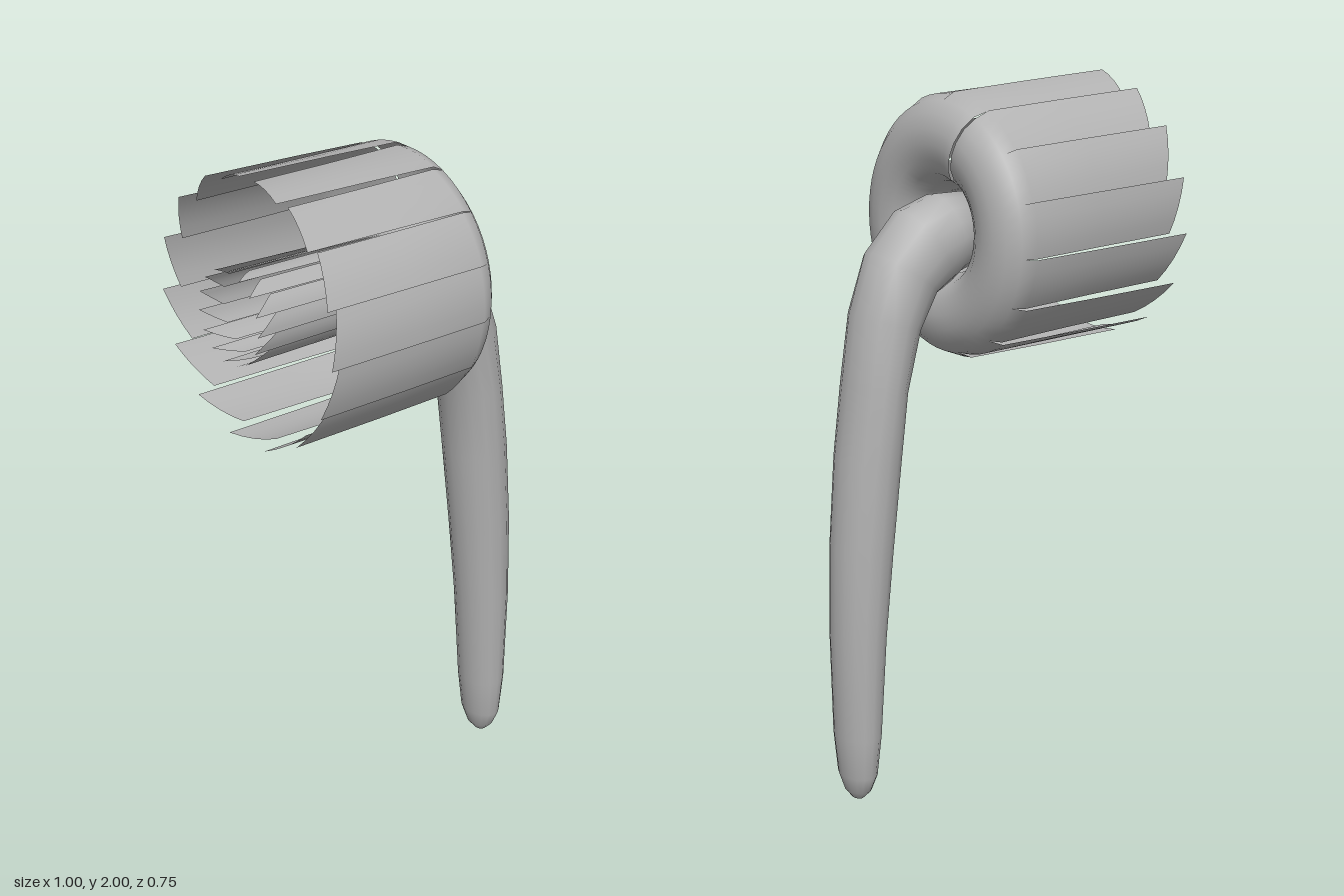
import * as THREE from 'three';
import { mergeVertices } from 'three/addons/utils/BufferGeometryUtils.js';

const grey = new THREE.MeshStandardMaterial({ color: 0xb2b2b2, side: THREE.DoubleSide });
grey.name = 'grey';

// Smooth skin over a list of grids; each grid is rows of points
function skin(grids) {
  const positions = [], index = [];
  for (const rows of grids) {
    const base = positions.length / 3, w = rows[0].length;
    rows.forEach((row) => row.forEach((p) => positions.push(p.x, p.y, p.z)));
    for (let r = 0; r < rows.length - 1; r++) {
      for (let c = 0; c < w - 1; c++) {
        const a = base + r * w + c, b = a + 1, d = a + w, e = d + 1;
        index.push(a, b, d, b, e, d);
      }
    }
  }
  let geometry = new THREE.BufferGeometry();
  geometry.setAttribute('position', new THREE.Float32BufferAttribute(positions, 3));
  geometry.setIndex(index);
  geometry = mergeVertices(geometry, 1e-4);
  geometry.computeVertexNormals();
  return geometry;
}

// Flower head: overlapping strips that run from the outer teeth over the rim to the inner teeth
function flowerHead() {
  const count = 15, columns = 4, step = (Math.PI * 2) / count;
  // x and radius at the short side of a strip, then at its long side
  const profile = [
    [-0.405, 0.352, -0.45, 0.375],
    [-0.15, 0.354, -0.15, 0.371],
    [0.08, 0.358, 0.08, 0.366],
    [0.12, 0.346, 0.12, 0.346],
    [0.15, 0.315, 0.15, 0.315],
    [0.165, 0.275, 0.165, 0.275],
    [0.168, 0.235, 0.168, 0.235],
    [0.158, 0.19, 0.158, 0.19],
    [0.135, 0.153, 0.135, 0.153],
    [0.09, 0.128, 0.09, 0.128],
    [0.03, 0.12, 0.03, 0.12],
    [-0.425, 0.12, -0.5, 0.13],
  ];
  const strips = [];
  for (let i = 0; i < count; i++) {
    strips.push(profile.map(([x0, r0, x1, r1]) => {
      const row = [];
      for (let c = 0; c <= columns; c++) {
        const t = c / columns, angle = (i - 1 + t) * step;
        // the rim swells slightly towards its seam
        const swell = 1 - (i + t) / count;
        const x = THREE.MathUtils.lerp(x0, x1, t) + (x0 > 0 ? 0.006 * swell : 0);
        const r = 0.24 + (THREE.MathUtils.lerp(r0, r1, t) - 0.24) * (1 + 0.04 * (swell - 0.5));
        // the axis drifts a little along its length
        const cy = 1.617 - 0.02 * x, cz = -0.007 - 0.028 * x;
        row.push(new THREE.Vector3(x, cy + r * Math.cos(angle), cz + r * Math.sin(angle)));
      }
      return row;
    }));
  }
  return skin(strips);
}

// Stem: elliptical sections swept along a bent centre line
function stem() {
  // centre x, centre y, half width in the bend plane, half width in z
  const sections = [
    [0.04, 1.61, 0.1, 0.1], [0.12, 1.6, 0.115, 0.108], [0.19, 1.57, 0.127, 0.11],
    [0.265, 1.505, 0.115, 0.11], [0.32, 1.38, 0.098, 0.11], [0.357, 1.2, 0.085, 0.109],
    [0.382, 1.0, 0.089, 0.104], [0.406, 0.75, 0.086, 0.097], [0.422, 0.5, 0.076, 0.09],
    [0.429, 0.2, 0.063, 0.079], [0.43, 0.08, 0.05, 0.068], [0.43, 0.03, 0.035, 0.045],
    [0.431, 0.005, 0.015, 0.02],
  ];
  const sides = 16;
  const centres = sections.map(([x, y]) => new THREE.Vector3(x, y, -0.005));
  const rows = sections.map(([, , a, b], k) => {
    const tangent = centres[Math.min(k + 1, centres.length - 1)].clone()
      .sub(centres[Math.max(k - 1, 0)]).normalize();
    const side = new THREE.Vector3(-tangent.y, tangent.x, 0);
    const row = [];
    for (let j = 0; j <= sides; j++) {
      const angle = ((j % sides) / sides) * Math.PI * 2;
      const p = centres[k].clone().addScaledVector(side, a * Math.cos(angle));
      p.z += b * Math.sin(angle);
      row.push(p);
    }
    return row;
  });
  // close both ends
  rows.unshift(rows[0].map(() => centres[0].clone()));
  rows.push(rows[0].map(() => new THREE.Vector3(0.431, 0, -0.005)));
  return skin([rows]);
}

export function createModel() {
  const group = new THREE.Group();
  const parts = { flowerHead: flowerHead(), stem: stem() };
  for (const [name, geometry] of Object.entries(parts)) {
    const mesh = new THREE.Mesh(geometry, grey);
    mesh.name = name;
    group.add(mesh);
  }
  return group;
}
